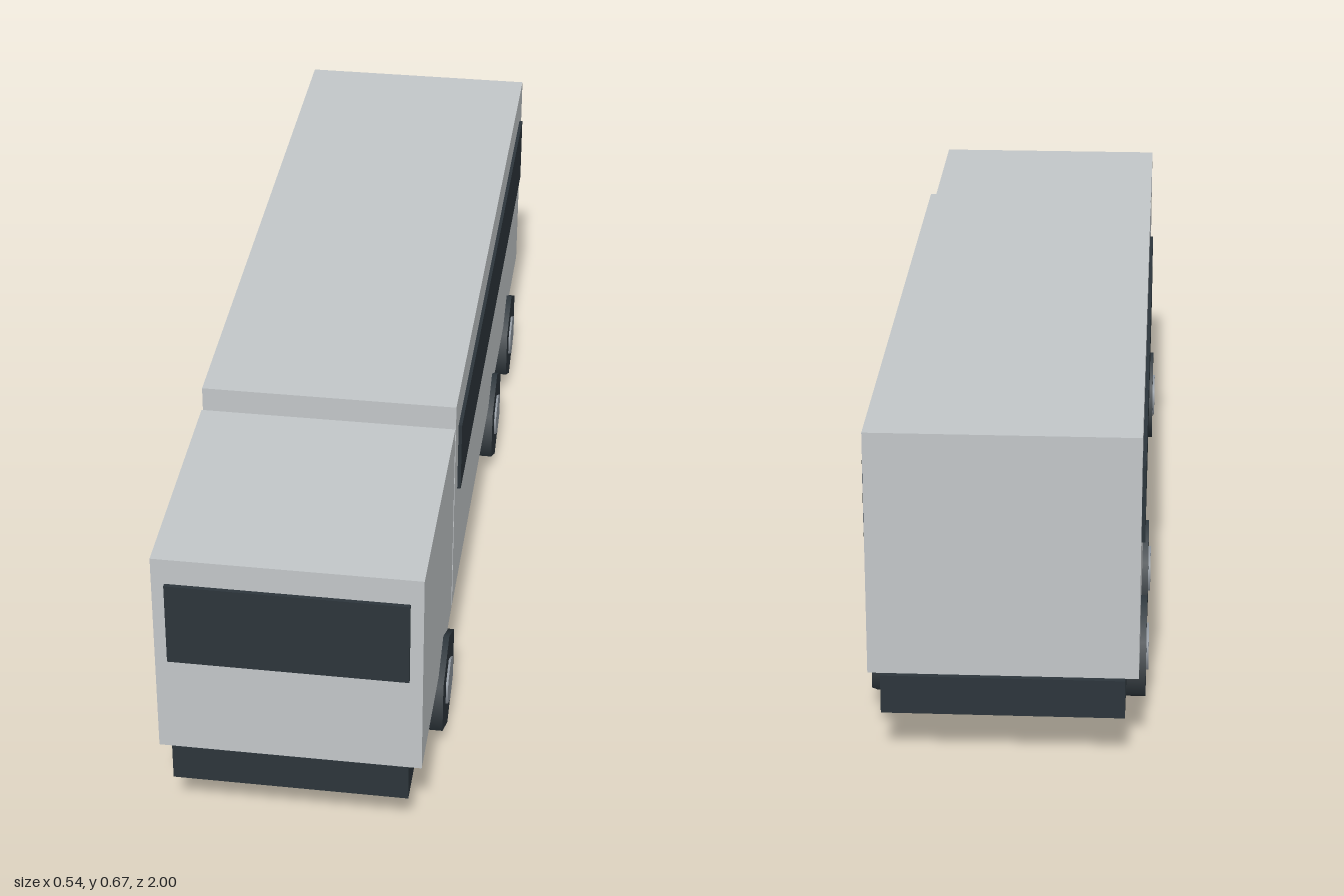
import * as THREE from 'three';

export function createModel() {
  const truck = new THREE.Group();
  truck.name = 'truck';

  const material = (name, color) => {
    const m = new THREE.MeshStandardMaterial({ color });
    m.name = name;
    return m;
  };
  const paint = material('light grey paint', 0xc2c6c8);
  const dark = material('dark slate', 0x2c353b);
  const steel = material('hub grey', 0x8e959d);

  // Box given by its limits on each axis
  const box = (name, mat, [x0, x1], [y0, y1], [z0, z1]) => {
    const mesh = new THREE.Mesh(new THREE.BoxGeometry(x1 - x0, y1 - y0, z1 - z0), mat);
    mesh.position.set((x0 + x1) / 2, (y0 + y1) / 2, (z0 + z1) / 2);
    mesh.name = name;
    truck.add(mesh);
  };

  // Chassis, cab and cargo body
  box('chassis', dark, [-0.23, 0.23], [0.1, 0.178], [-1, 0.993]);
  box('cab', paint, [-0.255, 0.255], [0.178, 0.622], [0.486, 0.992]);
  box('cargoBody', paint, [-0.255, 0.255], [0.178, 0.665], [-0.989, 0.473]);

  // Windscreen and long side windows
  box('windscreen', dark, [-0.23, 0.23], [0.39, 0.567], [0.991, 1]);
  box('leftWindow', dark, [0.253, 0.262], [0.434, 0.588], [-0.935, 0.419]);
  box('rightWindow', dark, [-0.262, -0.253], [0.434, 0.588], [-0.935, 0.419]);

  // Six-sided wheels with a corner pointing up, each with a hub
  const hexDrum = (radius, width) =>
    new THREE.CylinderGeometry(radius, radius, width, 6).rotateY(Math.PI / 2).rotateZ(Math.PI / 2);
  const tyreShape = hexDrum(0.111, 0.07);
  const hubShape = hexDrum(0.052, 0.079);

  for (const [axle, z] of [['front', 0.635], ['middle', -0.36], ['rear', -0.72]]) {
    for (const [side, sign] of [['Left', 1], ['Right', -1]]) {
      const wheel = new THREE.Group();
      wheel.name = `${axle}${side}Wheel`;
      const tyre = new THREE.Mesh(tyreShape, dark);
      tyre.name = 'tyre';
      const hub = new THREE.Mesh(hubShape, steel);
      hub.name = 'hub';
      wheel.add(tyre, hub);
      wheel.position.set(sign * 0.232, 0.111, z);
      truck.add(wheel);
    }
  }

  return truck;
}
